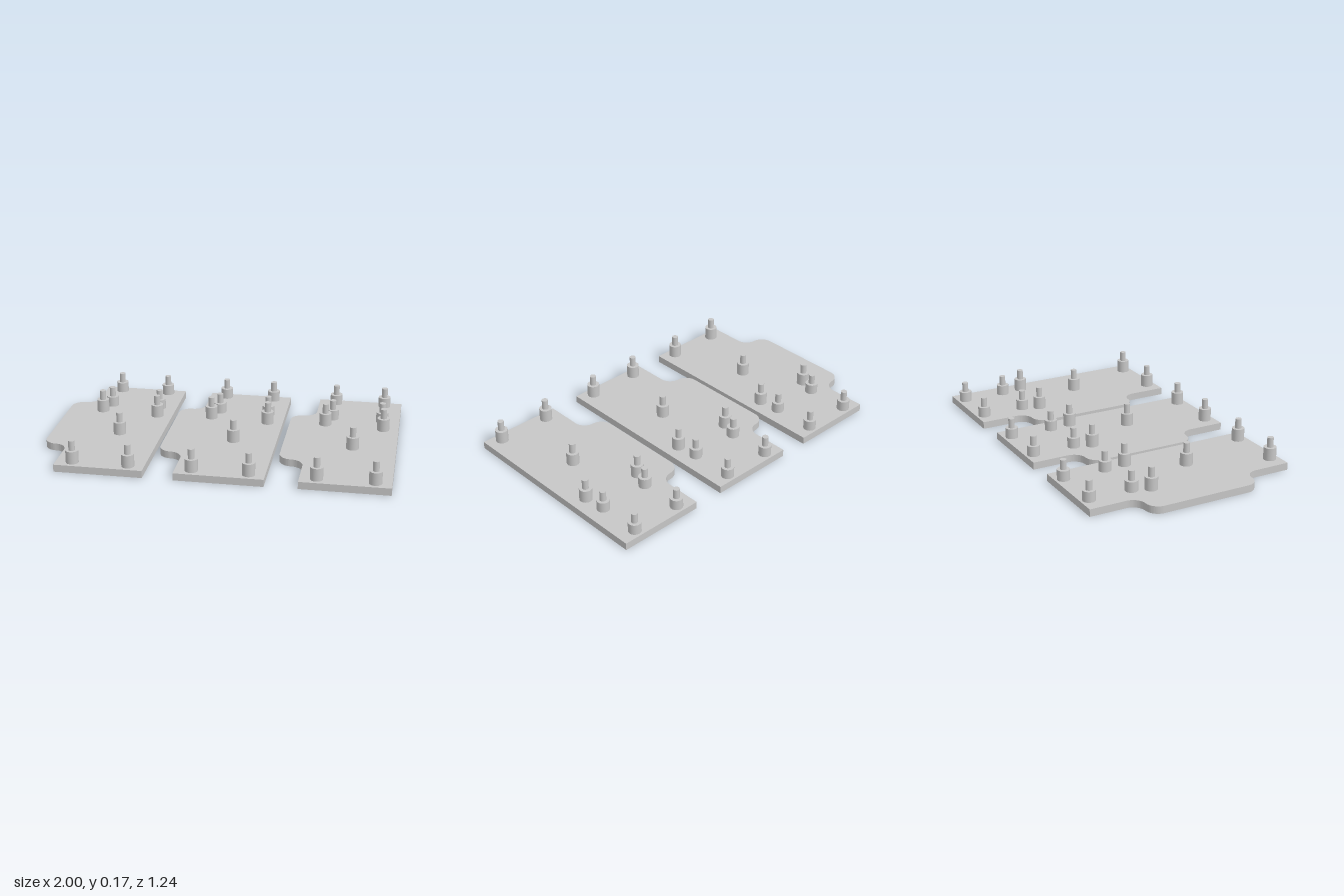
import * as THREE from 'three';
import { toCreasedNormals } from 'three/addons/utils/BufferGeometryUtils.js';

const THICK = 0.042, WIDTH = 0.5, HALF = 0.615, TAB = 0.144, TAB_HALF = 0.33, R = 0.072;

// Plate outline with a rounded, filleted tab on its left edge (x = 0 is the body's edge)
function plateGeometry() {
  const s = new THREE.Shape();
  const cx = R - TAB;
  s.moveTo(0, -HALF);
  s.lineTo(WIDTH, -HALF);
  s.lineTo(WIDTH, HALF);
  s.lineTo(0, HALF);
  s.lineTo(0, TAB_HALF + R);
  s.absarc(cx, TAB_HALF + R, R, 0, -Math.PI / 2, true);
  s.absarc(cx, TAB_HALF - R, R, Math.PI / 2, Math.PI, false);
  s.absarc(cx, R - TAB_HALF, R, Math.PI, Math.PI * 1.5, false);
  s.absarc(cx, -TAB_HALF - R, R, Math.PI / 2, 0, true);
  s.closePath();
  const g = new THREE.ExtrudeGeometry(s, { depth: THICK, bevelEnabled: false, curveSegments: 12 });
  g.rotateX(-Math.PI / 2);
  return toCreasedNormals(g, 0.6);
}

// Stepped standoff: wide collar with a slim pin on top
function standoff(x, z, short, material) {
  const group = new THREE.Group();
  group.name = short ? 'shortStandoff' : 'tallStandoff';
  const collarTop = short ? 0.102 : 0.115;
  const pinTop = short ? 0.158 : 0.172;
  const add = (name, radius, y0, y1) => {
    const m = new THREE.Mesh(new THREE.CylinderGeometry(radius, radius, y1 - y0, 32), material);
    m.name = name;
    m.position.y = (y0 + y1) / 2;
    group.add(m);
  };
  add('collar', 0.036, THICK - 0.002, collarTop);
  add('pin', 0.018, collarTop - 0.002, pinTop);
  group.position.set(x, 0, z);
  return group;
}

// Standoff places on a plate: x, z, short
const PEGS = [
  [0.102, -0.566, true], [0.397, -0.566, true],
  [0.102, -0.315, true], [0.397, -0.315, true],
  [0.067, -0.215, false], [0.41, -0.187, false],
  [0.253, 0.115, false],
  [0.094, 0.56, false], [0.41, 0.56, false],
];

export function createModel() {
  const model = new THREE.Group();
  model.name = 'mountingPlates';
  const grey = new THREE.MeshStandardMaterial({ color: 0xc6c6c6 });
  grey.name = 'lightGrey';
  const geometry = plateGeometry();

  // Three matching plates side by side
  [[-0.856, 0.002], [-0.185, 0.002], [0.499, -0.004]].forEach(([x, z], i) => {
    const unit = new THREE.Group();
    unit.name = ['rightPlate', 'middlePlate', 'leftPlate'][i];
    const base = new THREE.Mesh(geometry, grey);
    base.name = 'basePlate';
    unit.add(base);
    for (const [px, pz, short] of PEGS) unit.add(standoff(px, pz, short, grey));
    unit.position.set(x, 0, z);
    model.add(unit);
  });
  return model;
}
